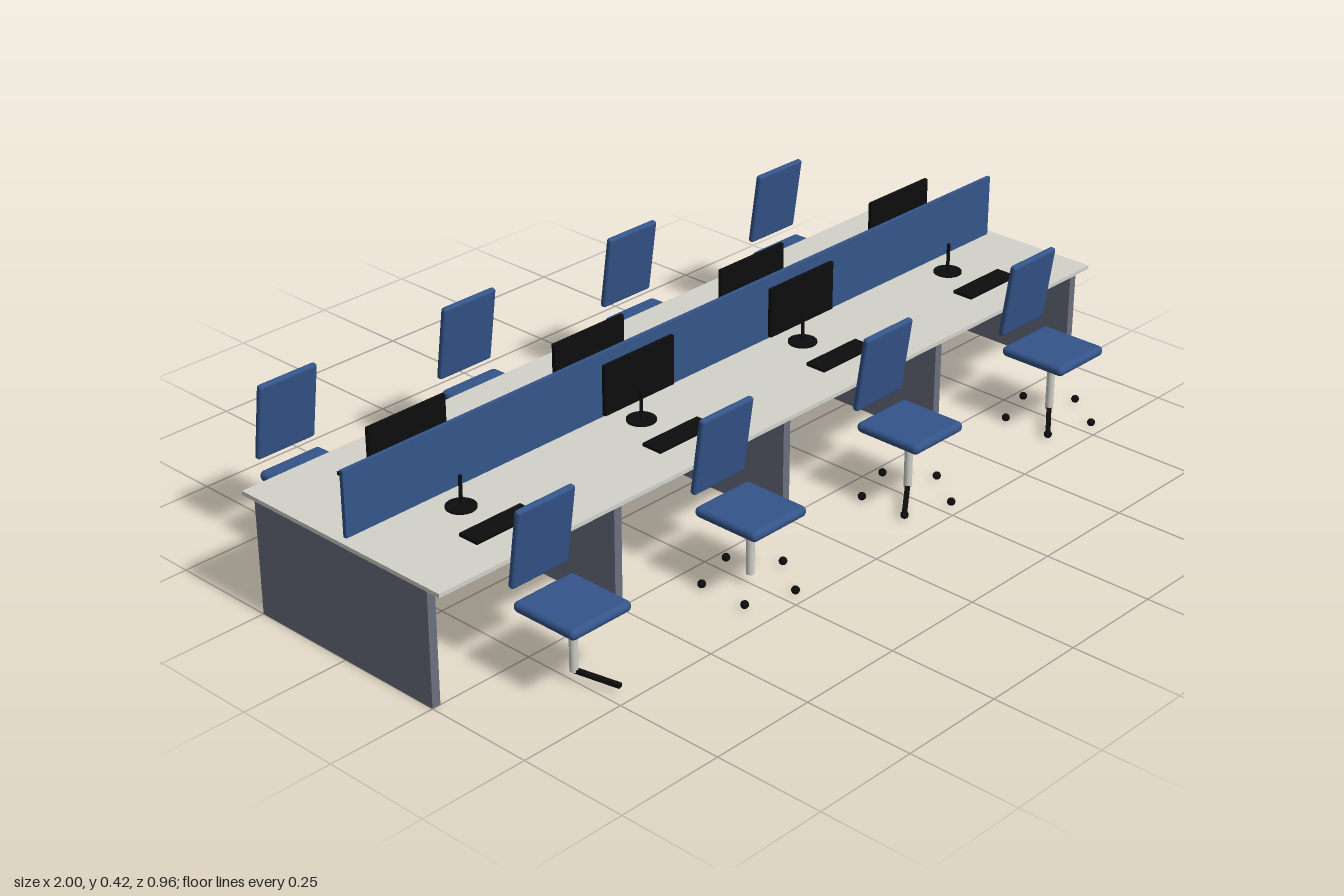
import * as THREE from 'three';
import { RoundedBoxGeometry } from 'three/addons/geometries/RoundedBoxGeometry.js';

const paint = (name, color) => {
  const m = new THREE.MeshStandardMaterial({ color });
  m.name = name;
  return m;
};

export function createModel() {
  const model = new THREE.Group();
  model.name = 'officeWorkstations';
  const blue = paint('blue fabric', 0x34558a);
  const white = paint('desk top', 0xd2d2cb);
  const grey = paint('grey panel', 0x6b7080);
  const metal = paint('pale metal', 0xcfcfc8);
  const black = paint('black plastic', 0x0d0d0d);

  const add = (parent, name, geometry, material, x = 0, y = 0, z = 0) => {
    const mesh = new THREE.Mesh(geometry, material);
    mesh.name = name;
    mesh.position.set(x, y, z);
    parent.add(mesh);
    return mesh;
  };

  // Shared geometries
  const seatGeo = new RoundedBoxGeometry(0.16, 0.024, 0.166, 4, 0.0115);
  const backGeo = new RoundedBoxGeometry(0.15, 0.178, 0.015, 3, 0.006);
  const columnGeo = new THREE.CylinderGeometry(0.009, 0.009, 0.132, 20);
  const spokeGeo = new THREE.BoxGeometry(0.1, 0.008, 0.011);
  const casterGeo = new THREE.SphereGeometry(0.009, 14, 10);
  const footGeo = new THREE.CylinderGeometry(0.032, 0.032, 0.004, 28);
  const poleGeo = new THREE.CylinderGeometry(0.004, 0.004, 0.07, 12);
  const screenGeo = new THREE.BoxGeometry(0.2, 0.112, 0.009);
  const keyboardGeo = new THREE.BoxGeometry(0.16, 0.007, 0.05);
  const legGeo = new THREE.BoxGeometry(0.02, 0.256, 0.5);

  // Desk: long top, five supports and a privacy divider
  add(model, 'deskTop', new THREE.BoxGeometry(2, 0.009, 0.572), white, 0, 0.2605, -0.002);
  for (const x of [-0.99, -0.5, 0, 0.5, 0.99]) add(model, 'deskSupport', legGeo, grey, x, 0.128, 0);
  add(model, 'divider', new THREE.BoxGeometry(1.965, 0.146, 0.009), blue, 0, 0.337, 0);

  // Swivel chair; spokes lists which of the five star arms are fitted
  const makeChair = (x, z, spokes, hasCasters) => {
    const chair = new THREE.Group();
    chair.name = 'chair';
    chair.position.set(x, 0, z);
    add(chair, 'seat', seatGeo, blue, 0, 0.167, 0);
    add(chair, 'backrest', backGeo, blue, 0, 0.288, -0.079).rotation.x = 0.14;
    add(chair, 'column', columnGeo, metal, 0, 0.09, 0);
    for (let i = 0; i < 5; i++) {
      const arm = new THREE.Group();
      arm.name = 'baseArm';
      arm.rotation.y = -i * Math.PI * 2 / 5;
      if (spokes.includes(i)) add(arm, 'spoke', spokeGeo, black, 0.05, 0.021, 0).rotation.z = -0.09;
      if (hasCasters) add(arm, 'caster', casterGeo, black, 0.1, 0.01, 0);
      if (arm.children.length) chair.add(arm);
    }
    model.add(chair);
  };

  // Monitor on a round foot
  const makeMonitor = (x, z, hasScreen) => {
    const monitor = new THREE.Group();
    monitor.name = 'monitor';
    monitor.position.set(x, 0.265, z);
    add(monitor, 'foot', footGeo, black, 0, 0.002, 0);
    add(monitor, 'pole', poleGeo, black, 0, 0.035, 0);
    if (hasScreen) add(monitor, 'screen', screenGeo, black, 0, 0.101, -0.007);
    model.add(monitor);
  };

  // Four places on each side of the divider
  const places = [
    { x: -0.75, front: [1], back: [2], casters: false, frontScreen: false },
    { x: -0.25, front: [], back: [0, 2], casters: true, frontScreen: true },
    { x: 0.25, front: [2], back: [0, 1], casters: true, frontScreen: true },
    { x: 0.75, front: [2], back: [1], casters: true, frontScreen: false },
  ];
  for (const p of places) {
    makeChair(p.x, 0.376, p.front, p.casters);
    makeChair(p.x, -0.376, p.back, p.casters);
    makeMonitor(p.x, 0.072, p.frontScreen);
    makeMonitor(p.x, -0.072, true);
    add(model, 'keyboard', keyboardGeo, black, p.x, 0.2685, 0.178);
    add(model, 'keyboard', keyboardGeo, black, p.x, 0.2685, -0.178);
  }
  return model;
}
